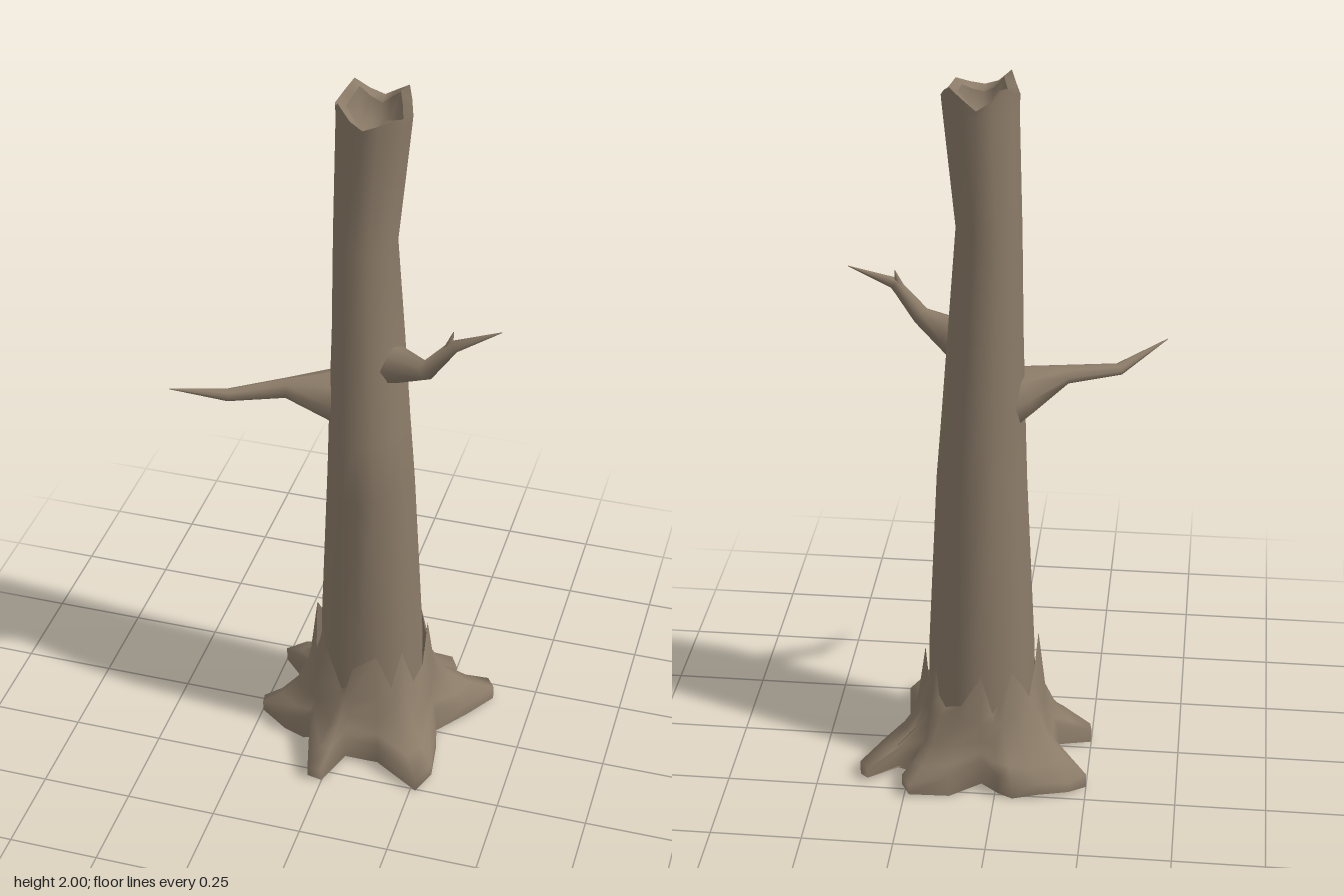
import * as THREE from 'three';

// Skin a list of closed rings (arrays of Vector3, listed bottom to top)
function loft(rings) {
  const n = rings[0].length, pos = [], idx = [];
  rings.forEach(r => r.forEach(p => pos.push(p.x, p.y, p.z)));
  for (let i = 0; i < rings.length - 1; i++) {
    for (let j = 0; j < n; j++) {
      const a = i * n + j, b = i * n + (j + 1) % n, c = a + n, d = b + n;
      idx.push(a, c, b, b, c, d);
    }
  }
  const g = new THREE.BufferGeometry();
  g.setAttribute('position', new THREE.Float32BufferAttribute(pos, 3));
  g.setIndex(idx);
  g.computeVertexNormals();
  return g;
}

const V = (x, y, z) => new THREE.Vector3(x, y, z);

// Eight-sided ring with extra points halfway along each side; y may vary per point
function octagon(cx, cz, rx, rz, y) {
  return Array.from({ length: 16 }, (_, k) => {
    const a = k * Math.PI / 8, f = k % 2 ? 0.94 : 1;
    return V(cx + Math.cos(a) * rx * f, Array.isArray(y) ? y[k] : y, cz + Math.sin(a) * rz * f);
  });
}

// Tapered, bent limb through points [x, y, z, radius]
function limb(points) {
  const c = points.map(p => V(p[0], p[1], p[2]));
  return loft(points.map((p, i) => {
    const t = c[Math.min(i + 1, c.length - 1)].clone().sub(c[Math.max(i - 1, 0)]).normalize();
    const u = t.clone().cross(V(0, 1, 0)).normalize(), v = u.clone().cross(t);
    return Array.from({ length: 8 }, (_, k) => {
      const a = k * Math.PI / 4;
      return c[i].clone().addScaledVector(u, Math.cos(a) * p[3]).addScaledVector(v, Math.sin(a) * p[3]);
    });
  }));
}

export function createModel() {
  const group = new THREE.Group();
  const bark = new THREE.MeshStandardMaterial({ color: 0x8b7b68, side: THREE.DoubleSide });
  bark.name = 'bark';
  const add = (name, geometry) => {
    const m = new THREE.Mesh(geometry, bark);
    m.name = name;
    group.add(m);
  };

  // Trunk: leaning column with a splintered top edge
  const jag = [1.955, 1.96, 1.975, 1.96, 1.95, 1.965, 2, 1.975, 1.962, 1.98, 2, 1.97, 1.95, 1.975, 2, 1.98];
  add('trunk', loft([
    octagon(0.058, -0.028, 0.15, 0.152, 0.08),
    octagon(0.058, -0.028, 0.148, 0.152, 0.35),
    octagon(0.058, -0.008, 0.123, 0.148, 0.87),
    octagon(0.053, -0.008, 0.113, 0.143, 1.05),
    octagon(0.045, -0.02, 0.1, 0.125, 1.3),
    octagon(0.035, -0.022, 0.086, 0.108, 1.6),
    octagon(0.055, -0.022, 0.098, 0.105, 1.93),
    octagon(0.055, -0.022, 0.1, 0.105, jag),
  ]));

  // Broken rim and the shallow hollow inside it
  add('rim', loft([
    octagon(0.055, -0.022, 0.1, 0.105, jag),
    octagon(0.055, -0.022, 0.075, 0.08, jag.map(y => y - 0.012)),
  ]));
  add('hollow', loft([
    octagon(0.055, -0.022, 0.075, 0.08, jag.map(y => y - 0.012)),
    octagon(0.055, -0.022, 0.065, 0.07, 1.9),
    octagon(0.055, -0.022, 0, 0, 1.87),
  ]));

  // Root outline on the ground: [x, z, height of the splinter above it]
  const roots = [
    [0.255, 0, 0.24], [0.28, 0.08, 0.21], [0.295, 0.19, 0.34], [0.265, 0.255, 0.22],
    [0.135, 0.185, 0.34], [0.04, 0.185, 0.29], [0, 0.287, 0.22], [-0.04, 0.29, 0.2],
    [-0.08, 0.135, 0.33], [-0.1, 0.13, 0.385], [-0.16, 0.12, 0.27], [-0.245, 0.06, 0.26],
    [-0.25, 0.03, 0.3], [-0.155, -0.01, 0.39], [-0.17, -0.1, 0.3], [-0.25, -0.19, 0.23],
    [-0.205, -0.235, 0.28], [-0.12, -0.257, 0.34], [-0.05, -0.265, 0.25], [-0.01, -0.26, 0.22],
    [0.04, -0.22, 0.34], [0.125, -0.27, 0.24], [0.235, -0.29, 0.22], [0.26, -0.245, 0.25],
    [0.215, -0.175, 0.34], [0.285, -0.165, 0.28], [0.36, -0.225, 0.25], [0.385, -0.19, 0.28],
    [0.33, -0.085, 0.35],
  ];
  const cx = 0.058, cz = -0.028, collar = 0.18;
  const around = (p, r, y) => {
    const l = Math.hypot(p[0] - cx, p[1] - cz);
    return V(cx + (p[0] - cx) / l * r, y, cz + (p[1] - cz) / l * r);
  };
  const reach = p => Math.hypot(p[0] - cx, p[1] - cz) - collar;
  const edge = p => 0.042 + 0.055 * Math.max(0, 1 - reach(p) / 0.12);
  const flare = (s, f) => roots.map(p =>
    around(p, collar + reach(p) * s, edge(p) + (0.2 - edge(p)) * f));
  const ground = roots.map((p, i) => V(p[0], i % 3 ? 0.012 : 0, p[1]));

  // Flared roots rising into a collar of pointed splinters
  add('roots', loft([
    ground, flare(1, 0), flare(0.6, 0.2), flare(0.25, 0.52), flare(0, 1),
    roots.map(p => around(p, 0.158, Math.max(p[2], 0.205))),
  ]));
  add('rootUnderside', loft([roots.map(() => V(cx, 0.03, cz)), ground]));

  // Dead branches
  add('rightBranch', limb([
    [0.02, 1.1, -0.01, 0.09], [-0.05, 1.127, 0.015, 0.07], [-0.16, 1.155, 0.062, 0.027],
    [-0.3, 1.147, 0.125, 0.017], [-0.425, 1.2, 0.215, 0.001],
  ]));
  add('leftBranch', limb([
    [0.07, 1.245, 0, 0.07], [0.14, 1.267, 0.04, 0.05], [0.23, 1.297, 0.09, 0.025],
    [0.3, 1.385, 0.096, 0.017], [0.42, 1.437, 0.077, 0.001],
  ]));
  add('leftTwig', limb([[0.285, 1.37, 0.095, 0.014], [0.298, 1.425, 0.09, 0.001]]));
  return group;
}
